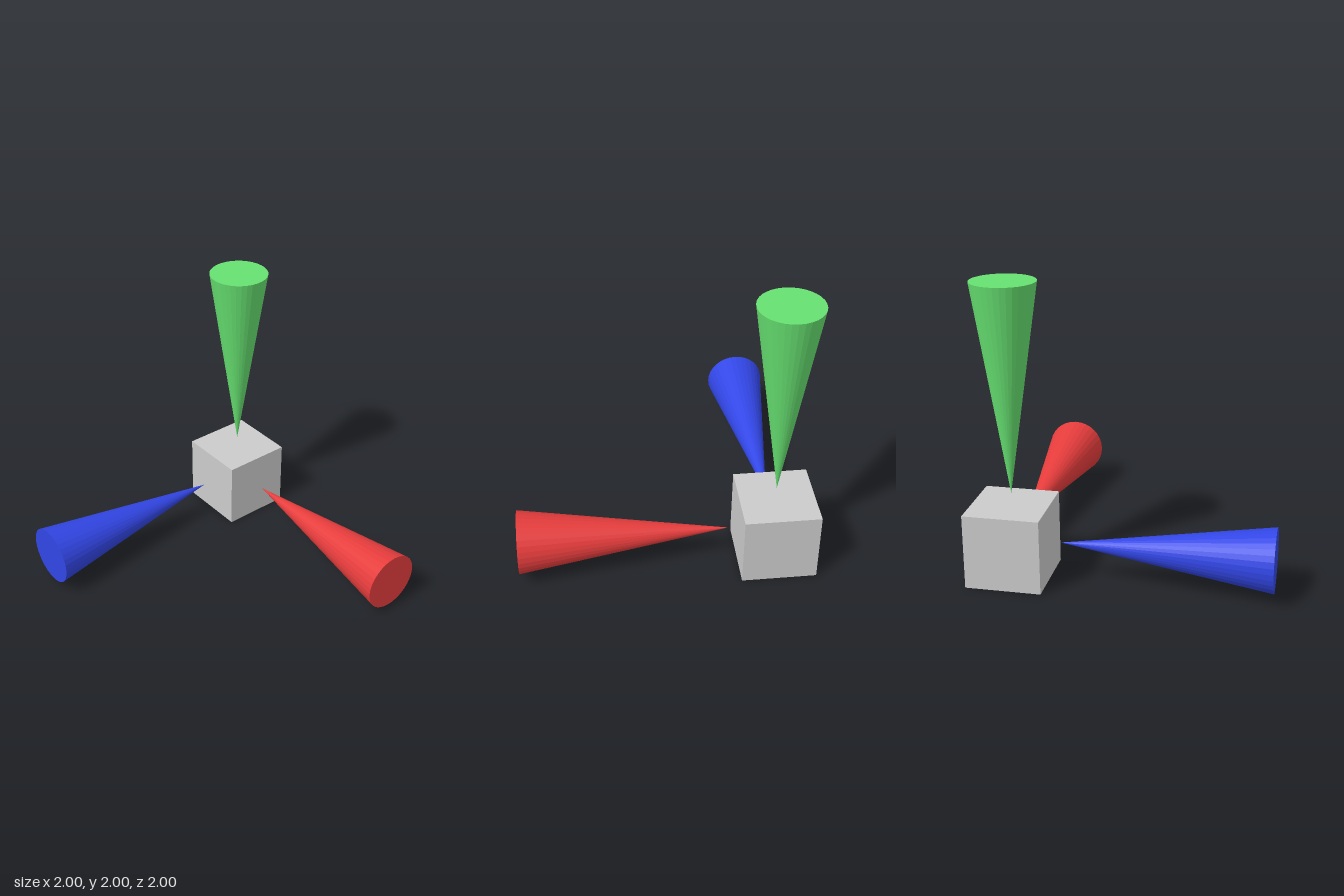
import * as THREE from 'three';

const CENTRE = -0.745, HEIGHT = 0.256, SIZE = 0.51;
const RADIUS = 0.213;

// Cone with its tip at the given point, widening along +y before rotation
function makeCone(name, color, tip, length, rotation) {
  const geometry = new THREE.ConeGeometry(RADIUS, length, 32);
  geometry.rotateX(Math.PI).translate(0, length / 2, 0);
  const cone = new THREE.Mesh(
    geometry,
    new THREE.MeshStandardMaterial({ color, flatShading: true })
  );
  cone.name = name;
  cone.position.set(...tip);
  cone.rotation.set(...rotation);
  return cone;
}

export function createModel() {
  const model = new THREE.Group();
  model.name = 'axisMarker';

  // Cube at the corner where the three axes meet
  const cube = new THREE.Mesh(
    new THREE.BoxGeometry(SIZE, SIZE, SIZE),
    new THREE.MeshStandardMaterial({ color: 0xcccccc })
  );
  cube.name = 'originCube';
  cube.position.set(CENTRE, SIZE / 2, CENTRE);
  model.add(cube);

  // One cone per axis, tips pointing back at the cube
  model.add(
    makeCone('xAxisCone', 0xe63c3c, [-0.425, HEIGHT + 0.002, -0.747], 1.425, [0, 0, -Math.PI / 2]),
    makeCone('yAxisCone', 0x66e070, [-0.74, 0.582, -0.744], 1.418, [0, 0, 0]),
    makeCone('zAxisCone', 0x3246e6, [-0.747, HEIGHT + 0.002, -0.417], 1.417, [Math.PI / 2, 0, 0])
  );
  return model;
}
